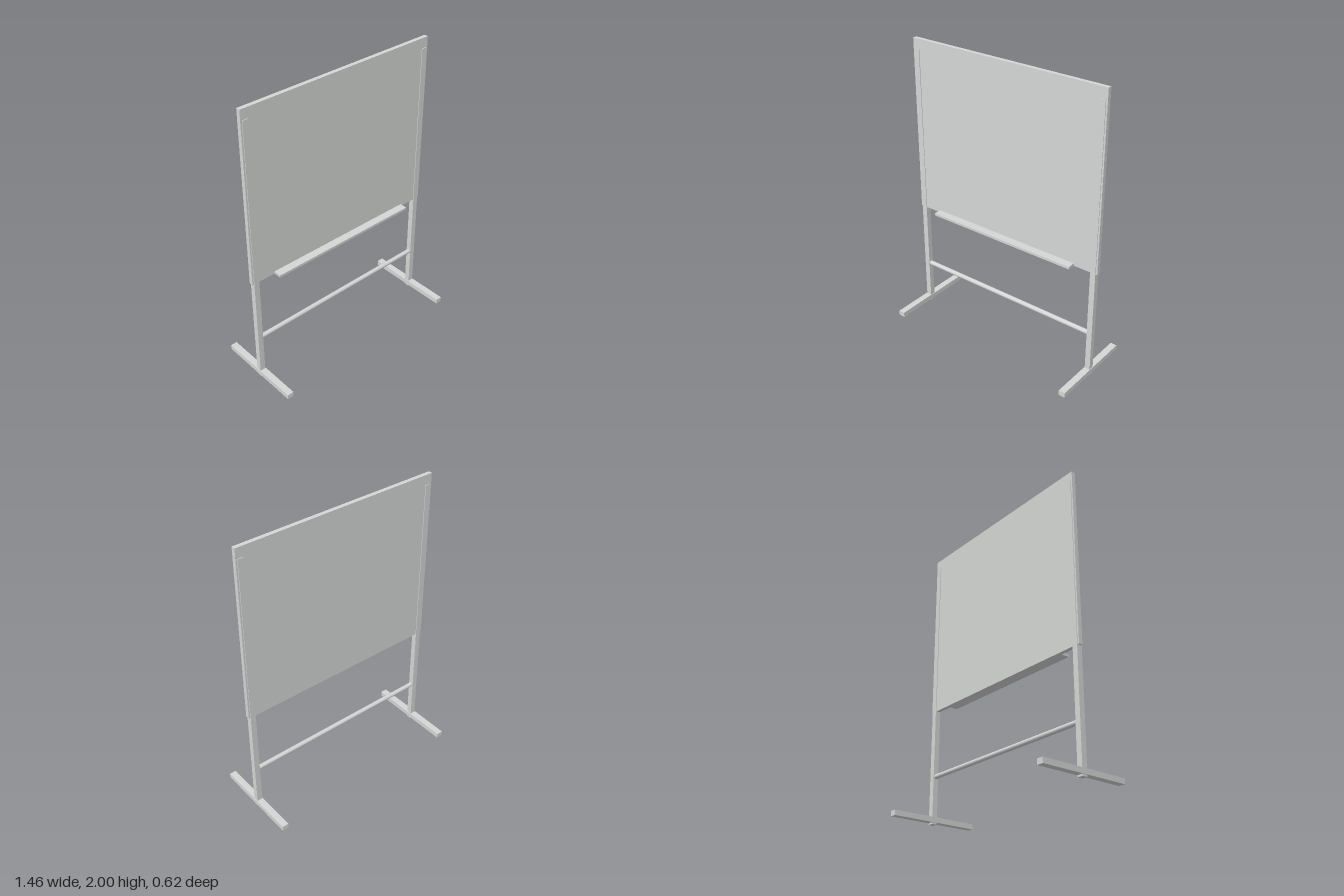
import * as THREE from 'three';

export function createModel() {
  const group = new THREE.Group();
  const grey = new THREE.MeshStandardMaterial({ color: 0xd4d7d5 });
  grey.name = 'light grey';

  const add = (name, geometry, x, y, z) => {
    const mesh = new THREE.Mesh(geometry, grey);
    mesh.name = name;
    mesh.position.set(x, y, z);
    group.add(mesh);
    return mesh;
  };
  // Box given by its minimum and maximum along each axis
  const box = (name, [x0, x1], [y0, y1], [z0, z1]) =>
    add(name, new THREE.BoxGeometry(x1 - x0, y1 - y0, z1 - z0),
      (x0 + x1) / 2, (y0 + y1) / 2, (z0 + z1) / 2);

  // Writing panel and its pen tray
  box('board', [-0.73, 0.73], [0.786, 2], [-0.014, 0.014]);
  box('penTray', [-0.557, 0.557], [0.786, 0.803], [0.013, 0.069]);

  // Uprights and feet on both sides
  for (const [side, s] of [['left', 1], ['right', -1]]) {
    add(side + 'Post', new THREE.BoxGeometry(0.038, 1.93, 0.037), s * 0.7, 0.965, 0);
    add(side + 'Foot', new THREE.BoxGeometry(0.046, 0.035, 0.62), s * 0.7, 0.03, 0);
  }

  // Round tie bar between the uprights
  const bar = add('crossBar', new THREE.CylinderGeometry(0.016, 0.016, 1.37, 24), 0, 0.321, 0);
  bar.rotation.z = Math.PI / 2;

  return group;
}
